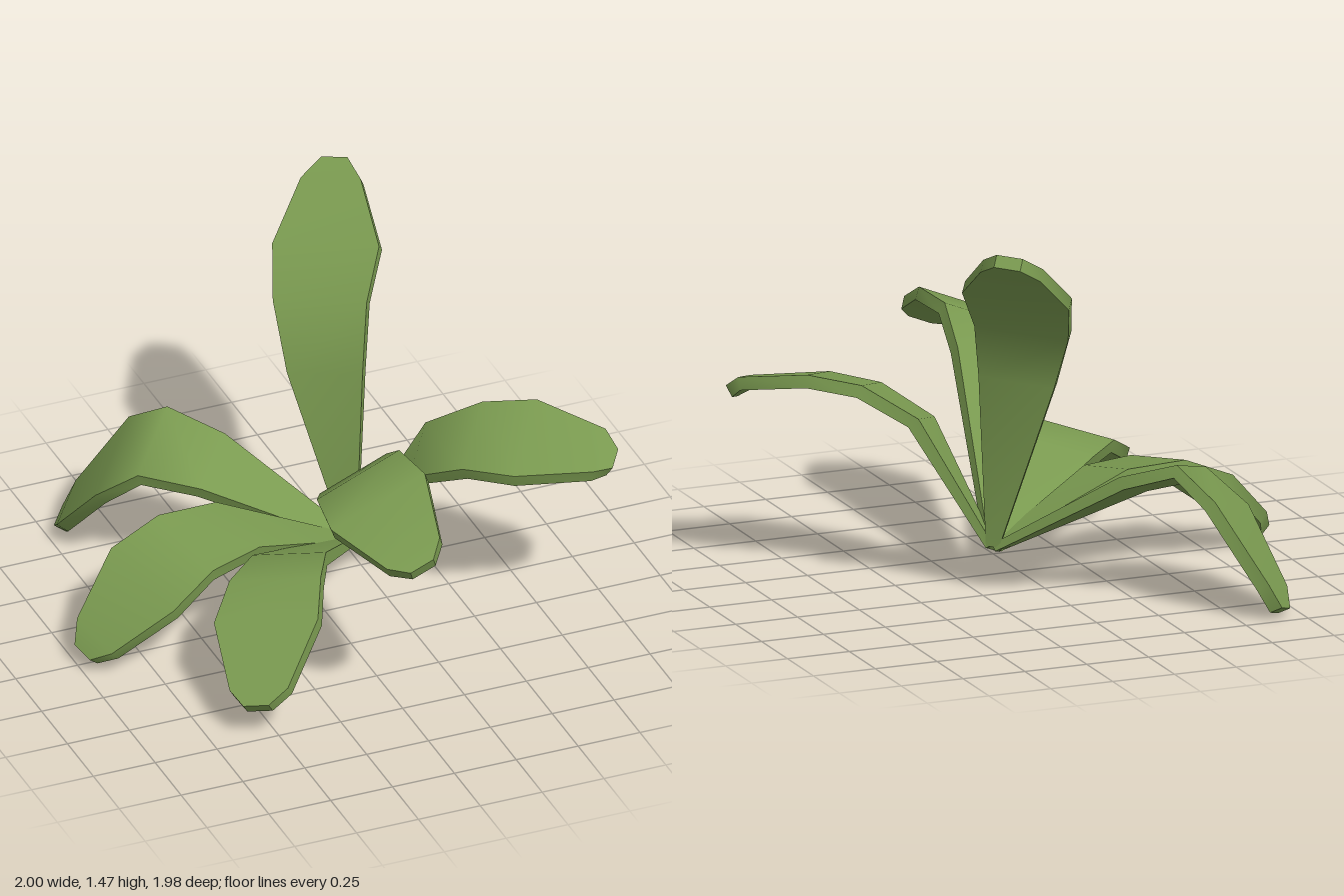
import * as THREE from 'three';

const BASE = [0.18, 0.19, -0.19];
// Blade width and thickness at each station, root to blunt tip
const WIDTH = [0.05, 0.29, 0.36, 0.41, 0.23, 0.1];
const THICK = [0.03, 0.05, 0.05, 0.05, 0.05, 0.05];

// Each leaf: direction across the blade, and the midrib after the shared root
const LEAVES = [
  { name: 'uprightBackLeaf', side: [0.81, 0.1, 0.57],
    rib: [[0.12, 0.86, -0.29], [0.15, 1.1, -0.41], [0.22, 1.27, -0.52], [0.32, 1.43, -0.71], [0.36, 1.48, -0.77]] },
  { name: 'backRightLeaf', side: [0.63, 0.28, -0.72],
    rib: [[-0.26, 0.47, -0.46], [-0.45, 0.53, -0.59], [-0.555, 0.41, -0.73], [-0.665, 0.13, -0.91], [-0.68, 0.05, -0.955]] },
  { name: 'rightLeaf', side: [-0.21, 0.18, -0.96],
    rib: [[-0.31, 0.41, -0.1], [-0.54, 0.41, -0.055], [-0.735, 0.32, -0.01], [-0.94, 0.14, 0.02], [-0.99, 0.08, 0.02]] },
  { name: 'frontRightLeaf', side: [-0.77, -0.2, -0.6],
    rib: [[-0.22, 0.42, 0.18], [-0.35, 0.44, 0.355], [-0.45, 0.365, 0.505], [-0.565, 0.21, 0.71], [-0.595, 0.17, 0.755]] },
  { name: 'frontLeaf', side: [-0.92, -0.38, 0],
    rib: [[0, 0.77, 0.27], [-0.055, 0.88, 0.45], [-0.06, 0.88, 0.655], [-0.03, 0.8, 0.925], [-0.02, 0.775, 0.985]] },
  { name: 'leftLeaf', side: [-0.56, -0.24, 0.8],
    rib: [[0.365, 0.645, 0.02], [0.525, 0.755, 0.17], [0.685, 0.78, 0.3], [0.92, 0.755, 0.45], [0.975, 0.72, 0.475]] },
];

// Four-cornered section swept along the midrib: smooth lengthwise, sharp rims
function leafGeometry({ side, rib }) {
  const pts = [BASE, ...rib].map((p) => new THREE.Vector3(...p));
  const across = new THREE.Vector3(...side).normalize();
  const last = pts.length - 1;
  const rings = pts.map((p, i) => {
    const along = pts[Math.min(i + 1, last)].clone().sub(pts[Math.max(i - 1, 0)]);
    const up = across.clone().cross(along).normalize();
    const corner = (s, drop) => p.clone()
      .addScaledVector(across, s * WIDTH[i] / 2)
      .addScaledVector(up, -drop * THICK[i]);
    return [corner(-1, 0), corner(1, 0), corner(1, 1), corner(-1, 1)];
  });

  const pos = [], index = [];
  const strip = (pairs) => {
    const start = pos.length / 3;
    pairs.forEach(([a, b], i) => {
      pos.push(...a.toArray(), ...b.toArray());
      if (i === 0) return;
      const q = start + (i - 1) * 2;
      index.push(q, q + 1, q + 3, q, q + 3, q + 2);
    });
  };
  // Upper face, rim, under face, rim
  for (let k = 0; k < 4; k++) strip(rings.map((r) => [r[k], r[(k + 1) % 4]]));
  // Tip and root ends
  const tip = rings[last], root = rings[0];
  strip([[tip[0], tip[1]], [tip[3], tip[2]]]);
  strip([[root[1], root[0]], [root[2], root[3]]]);

  const geo = new THREE.BufferGeometry();
  geo.setAttribute('position', new THREE.Float32BufferAttribute(pos, 3));
  geo.setIndex(index);
  geo.computeVertexNormals();
  return geo;
}

export function createModel() {
  const plant = new THREE.Group();
  plant.name = 'leafyPlant';
  const green = new THREE.MeshStandardMaterial({ color: 0x7a9a50 });
  for (const leaf of LEAVES) {
    const mesh = new THREE.Mesh(leafGeometry(leaf), green);
    mesh.name = leaf.name;
    plant.add(mesh);
  }
  return plant;
}
